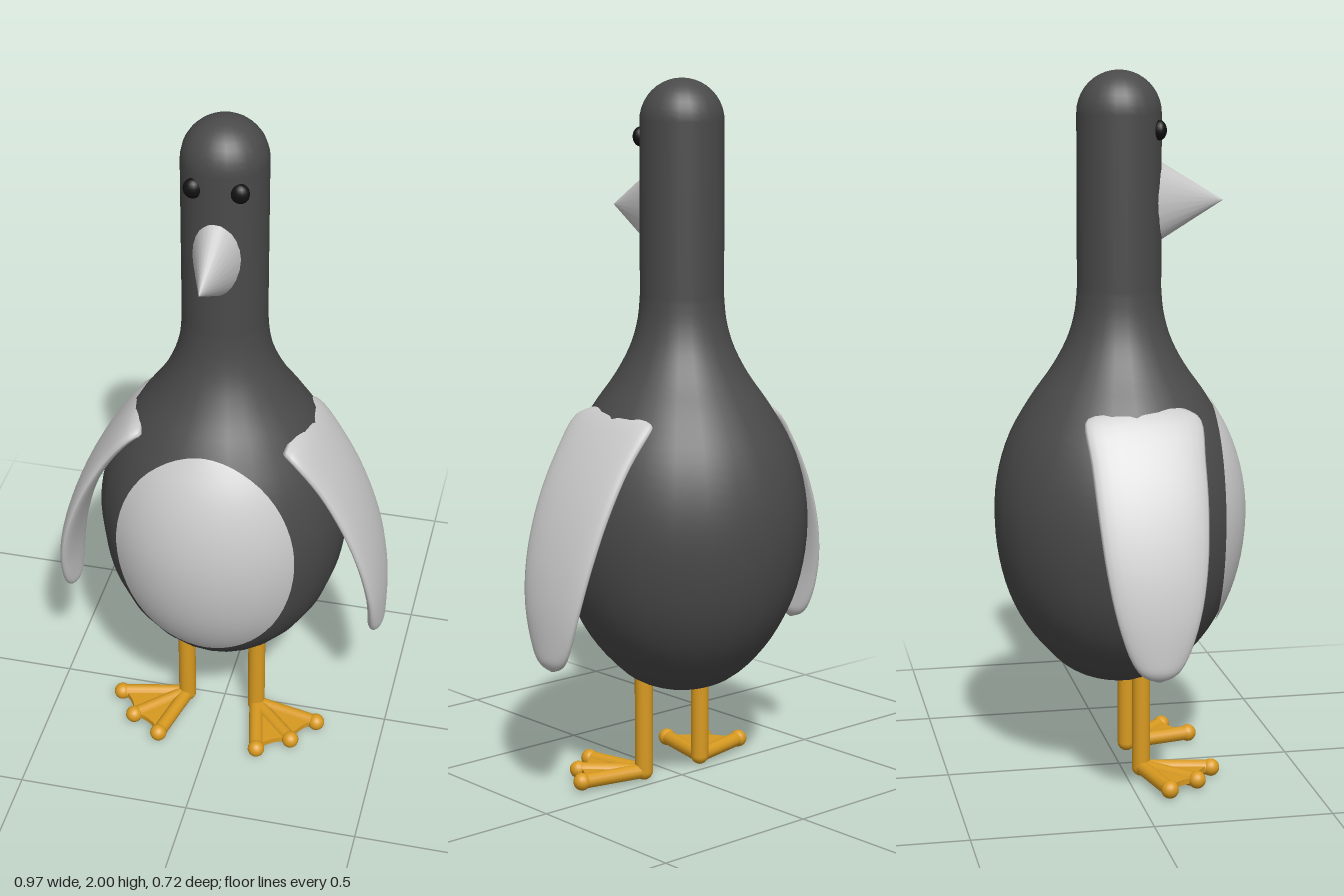
import * as THREE from 'three';
import { mergeVertices } from 'three/addons/utils/BufferGeometryUtils.js';

const paint = (color, side = THREE.FrontSide) => new THREE.MeshStandardMaterial({ color, side });
const dark = paint(0x4a4a4a), grey = paint(0xcccccc), black = paint(0x111111);
const orange = paint(0xd89a20, THREE.DoubleSide);

function add(parent, name, geometry, material, position = [0, 0, 0]) {
  const mesh = new THREE.Mesh(geometry, material);
  mesh.name = name;
  mesh.position.set(...position);
  parent.add(mesh);
  return mesh;
}

// Move every vertex by a rule, then weld seams and smooth
function reshape(geometry, rule) {
  const p = geometry.attributes.position, v = new THREE.Vector3();
  for (let i = 0; i < p.count; i++) {
    rule(v.fromBufferAttribute(p, i));
    p.setXYZ(i, v.x, v.y, v.z);
  }
  geometry.deleteAttribute('uv');
  geometry.deleteAttribute('normal');
  const welded = mergeVertices(geometry, 1e-5);
  welded.computeVertexNormals();
  return welded;
}

// Egg-shaped body flowing into a straight neck with a domed head
function bodyProfile() {
  const egg = [[0, 0.265], [0.085, 0.28], [0.165, 0.32], [0.25, 0.41], [0.31, 0.515], [0.345, 0.635],
    [0.357, 0.76], [0.345, 0.875], [0.31, 0.985], [0.25, 1.09], [0.19, 1.175], [0.147, 1.255],
    [0.125, 1.33], [0.118, 1.4]].map(([x, y]) => new THREE.Vector2(x, y));
  const points = new THREE.SplineCurve(egg).getPoints(44);
  for (let i = 0; i <= 10; i++) {
    const a = (i / 10) * Math.PI / 2;
    points.push(new THREE.Vector2(0.118 * Math.cos(a), 1.882 + 0.118 * Math.sin(a)));
  }
  points[0].x = 0;
  return points;
}

function radiusAt(profile, y) {
  const i = Math.max(1, profile.findIndex(p => p.y >= y));
  const a = profile[i - 1], b = profile[i];
  return a.x + (b.x - a.x) * (y - a.y) / (b.y - a.y);
}

// Pale patch covering the body surface in front of z = 0.25
function bellyGeometry(profile) {
  return reshape(new THREE.PlaneGeometry(2, 2, 20, 28), v => {
    const y = 0.75 + 0.34 * Math.sin(v.y * Math.PI / 2);
    const r = radiusAt(profile, y);
    const angle = v.x * Math.acos(Math.min(1, 0.25 / r));
    v.set((r + 0.003) * Math.sin(angle), y, (r + 0.003) * Math.cos(angle));
  });
}

// Curved wing: path holds x, y and the half width along z
function wingGeometry() {
  const path = new THREE.CatmullRomCurve3([[0.2, 1.075, 0.14], [0.235, 1.06, 0.162], [0.31, 0.965, 0.158],
    [0.38, 0.836, 0.152], [0.432, 0.69, 0.138], [0.457, 0.56, 0.113], [0.461, 0.45, 0.075],
    [0.459, 0.41, 0.045], [0.457, 0.392, 0.004]].map(p => new THREE.Vector3(...p)));
  return reshape(new THREE.CylinderGeometry(1, 1, 1, 24, 32), v => {
    const t = 0.5 - v.y;
    const c = path.getPoint(t), d = path.getTangent(t);
    const len = Math.hypot(d.x, d.y) || 1;
    const thick = Math.min(0.03 - 0.008 * t, c.z * 0.4);
    v.set(c.x - d.y / len * v.x * thick, c.y + d.x / len * v.x * thick, 0.022 + v.z * c.z);
  });
}

// Leg with a webbed three-toed foot, heel at the local origin, toes along +z
function buildLeg() {
  const leg = new THREE.Group();
  leg.name = 'leg';
  add(leg, 'shin', new THREE.CylinderGeometry(0.026, 0.026, 0.29, 16), orange, [0, 0.145, 0]);
  const foot = new THREE.Group();
  foot.name = 'foot';
  foot.rotation.y = Math.PI / 4;
  leg.add(foot);
  add(foot, 'heel', new THREE.SphereGeometry(0.026, 16, 12), orange);
  const tips = [-1, 0, 1].map(s => {
    const a = s * 0.57, length = s ? 0.2 : 0.19;
    return new THREE.Vector3(Math.sin(a) * length, 0, Math.cos(a) * length);
  });
  tips.forEach(tip => {
    const toe = new THREE.LineCurve3(new THREE.Vector3(), tip);
    add(foot, 'toe', new THREE.TubeGeometry(toe, 1, 0.021, 12), orange);
    add(foot, 'toeTip', new THREE.SphereGeometry(0.025, 16, 12), orange, tip.toArray());
  });
  // Thin web with a scalloped front edge
  const web = new THREE.Shape();
  web.moveTo(0, 0);
  web.lineTo(tips[0].x, tips[0].z);
  web.quadraticCurveTo(-0.05, 0.155, tips[1].x, tips[1].z);
  web.quadraticCurveTo(0.05, 0.155, tips[2].x, tips[2].z);
  web.closePath();
  const sheet = new THREE.ExtrudeGeometry(web, { depth: 0.016, bevelEnabled: false, curveSegments: 8 });
  sheet.rotateX(Math.PI / 2);
  add(foot, 'web', sheet, orange, [0, 0.008, 0]);
  leg.position.set(0.108, 0.026, 0.043);
  return leg;
}

export function createModel() {
  const model = new THREE.Group();
  model.name = 'bird';
  const profile = bodyProfile();
  add(model, 'body', new THREE.LatheGeometry(profile, 24), dark);
  add(model, 'belly', bellyGeometry(profile), grey);

  // Beak: a tall, narrow cone
  const beak = new THREE.ConeGeometry(1, 0.2, 24);
  beak.rotateX(Math.PI / 2);
  beak.scale(0.066, 0.122, 1);
  add(model, 'beak', beak, grey, [0, 1.638, 0.196]);

  // Paired parts, mirrored across x
  const wing = wingGeometry();
  for (const [side, sign] of [['left', 1], ['right', -1]]) {
    const half = new THREE.Group();
    half.name = side + 'Side';
    half.scale.x = sign;
    add(half, side + 'Wing', wing, grey);
    const eye = add(half, side + 'Eye', new THREE.SphereGeometry(0.026, 16, 12), black, [0.063, 1.838, 0.1]);
    eye.scale.set(1, 1.08, 0.8);
    half.add(buildLeg());
    model.add(half);
  }
  return model;
}
